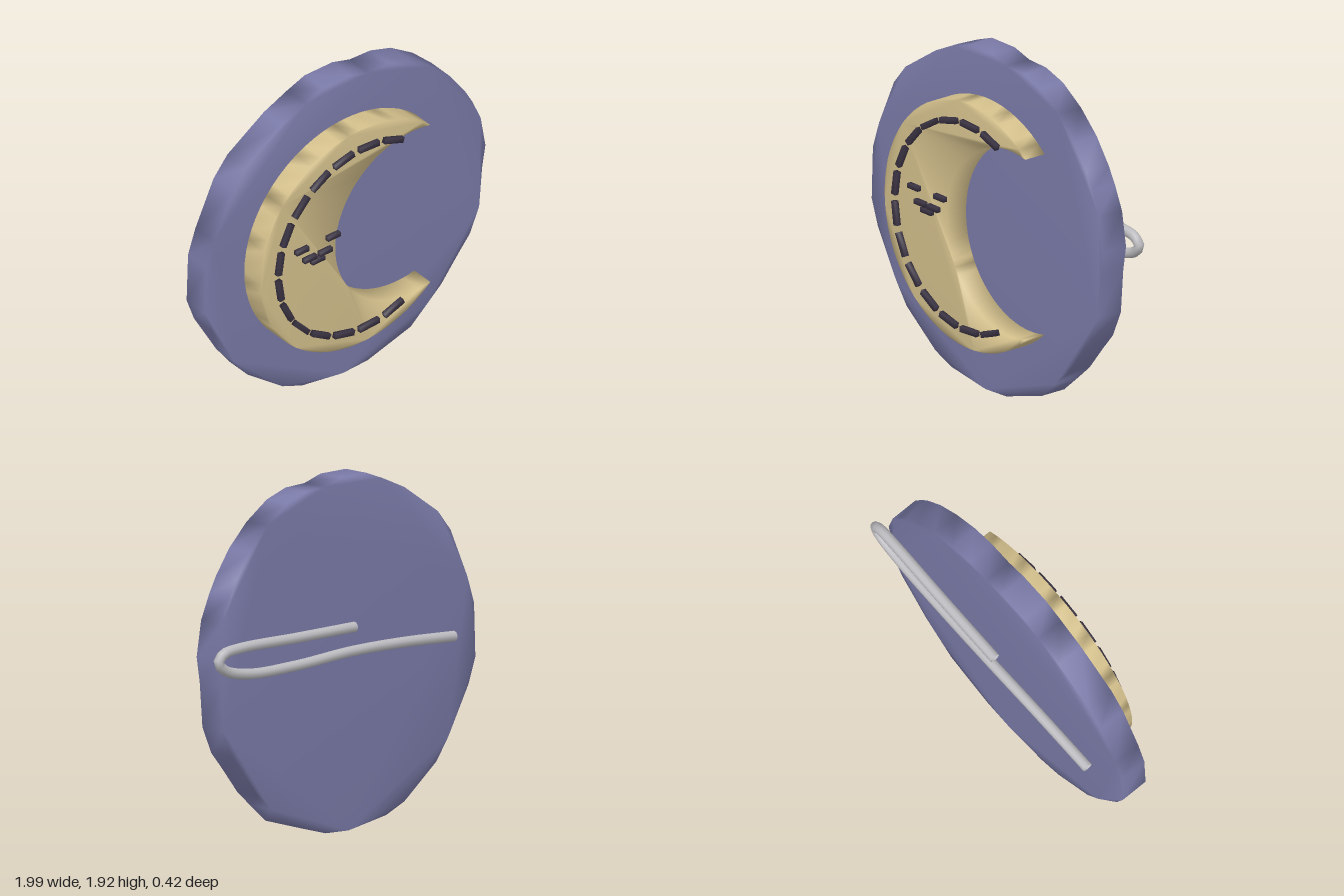
import * as THREE from 'three';
import { mergeVertices } from 'three/addons/utils/BufferGeometryUtils.js';

const cloth = new THREE.MeshStandardMaterial({ color: 0x7a7aa8 });
cloth.name = 'dusty blue cloth';
const moonCloth = new THREE.MeshStandardMaterial({ color: 0xd4c08c });
moonCloth.name = 'pale gold cloth';
const thread = new THREE.MeshStandardMaterial({ color: 0x3c3545 });
thread.name = 'dark thread';
const metal = new THREE.MeshStandardMaterial({ color: 0xbcbcc0, side: THREE.DoubleSide });
metal.name = 'silver metal';

// Weld the corners so shading flows softly over the edges
function soften(geometry) {
  geometry.deleteAttribute('normal');
  geometry.deleteAttribute('uv');
  const welded = mergeVertices(geometry, 1e-4);
  welded.computeVertexNormals();
  return welded;
}

function addMesh(parent, name, geometry, material) {
  const mesh = new THREE.Mesh(geometry, material);
  mesh.name = name;
  parent.add(mesh);
  return mesh;
}

function slab(shape, back, front, curveSegments = 12) {
  const g = new THREE.ExtrudeGeometry(shape, { depth: front - back, bevelEnabled: false, curveSegments });
  return soften(g.translate(0, 0, back));
}

export function createModel() {
  const model = new THREE.Group();
  model.name = 'moonBrooch';

  // Hand-cut, uneven round backing
  const outline = [
    [-0.19, 1.925], [0, 1.925], [0.12, 1.89], [0.26, 1.885], [0.4, 1.84], [0.55, 1.74],
    [0.68, 1.615], [0.78, 1.475], [0.83, 1.385], [0.89, 1.25], [0.923, 1.055], [0.9, 0.915],
    [0.88, 0.67], [0.815, 0.52], [0.735, 0.425], [0.62, 0.28], [0.525, 0.195], [0.41, 0.095],
    [0.275, 0.055], [0.115, 0.008], [-0.055, 0], [-0.335, 0.045], [-0.47, 0.1], [-0.71, 0.285],
    [-0.8, 0.41], [-0.95, 0.675], [-1, 0.815], [-0.99, 1.11], [-0.94, 1.26], [-0.815, 1.53],
    [-0.72, 1.645], [-0.47, 1.81], [-0.31, 1.88],
  ].map(([x, y]) => new THREE.Vector2(x, y)).reverse();
  addMesh(model, 'backing', slab(new THREE.Shape(outline), -0.113, 0.045), cloth);

  // Crescent between a large arc and a smaller, shifted arc
  const cx = -0.035, cy = 0.966, tip = 0.83;
  const tipX = cx + 0.697 * Math.cos(tip), tipY = 0.697 * Math.sin(tip);
  const innerX = 0.312;
  const innerR = Math.hypot(tipX - innerX, tipY);
  const innerTip = Math.atan2(tipY, tipX - innerX);
  const crescent = new THREE.Shape();
  crescent.absarc(cx, cy, 0.697, tip, Math.PI * 2 - tip, false);
  crescent.absarc(innerX, cy, innerR, Math.PI * 2 - innerTip, innerTip, true);
  addMesh(model, 'crescent', slab(crescent, 0.045, 0.18, 24), moonCloth);

  // Running stitches along the crescent
  const stitches = new THREE.Group();
  stitches.name = 'stitches';
  model.add(stitches);
  const stitchGeometry = soften(new THREE.BoxGeometry(0.135, 0.032, 0.026));
  const count = 14;
  for (let i = 0; i < count; i++) {
    const a = THREE.MathUtils.degToRad(70 + (220 * i) / (count - 1));
    const stitch = addMesh(stitches, 'stitch', stitchGeometry, thread);
    stitch.position.set(cx + 0.585 * Math.cos(a), cy + 0.585 * Math.sin(a), 0.2);
    stitch.rotation.z = a + Math.PI / 2;
  }

  // Sleepy face: two closed eyes and a three-stitch smile
  const face = new THREE.Group();
  face.name = 'face';
  model.add(face);
  const faceGeometry = soften(new THREE.BoxGeometry(0.085, 0.027, 0.026));
  for (const [name, x, y] of [
    ['rightEye', -0.462, 1.072], ['leftEye', -0.248, 1.072],
    ['smile', -0.408, 0.997], ['smile', -0.355, 0.965], ['smile', -0.302, 0.997],
  ]) addMesh(face, name, faceGeometry, thread).position.set(x, y, 0.2);

  // Bent wire pin behind the backing
  const path = new THREE.CatmullRomCurve3([
    [-0.03, 1.12, -0.183], [0.4, 1.118, -0.178], [0.82, 1.117, -0.17], [0.93, 1.1, -0.168],
    [0.967, 1.06, -0.168], [0.92, 1.01, -0.17], [0.75, 0.97, -0.173], [0.4, 0.968, -0.178],
    [0, 0.99, -0.183], [-0.4, 0.985, -0.178], [-0.78, 0.965, -0.174],
  ].map((p) => new THREE.Vector3(...p)));
  addMesh(model, 'pin', new THREE.TubeGeometry(path, 80, 0.029, 10), metal);

  return model;
}
